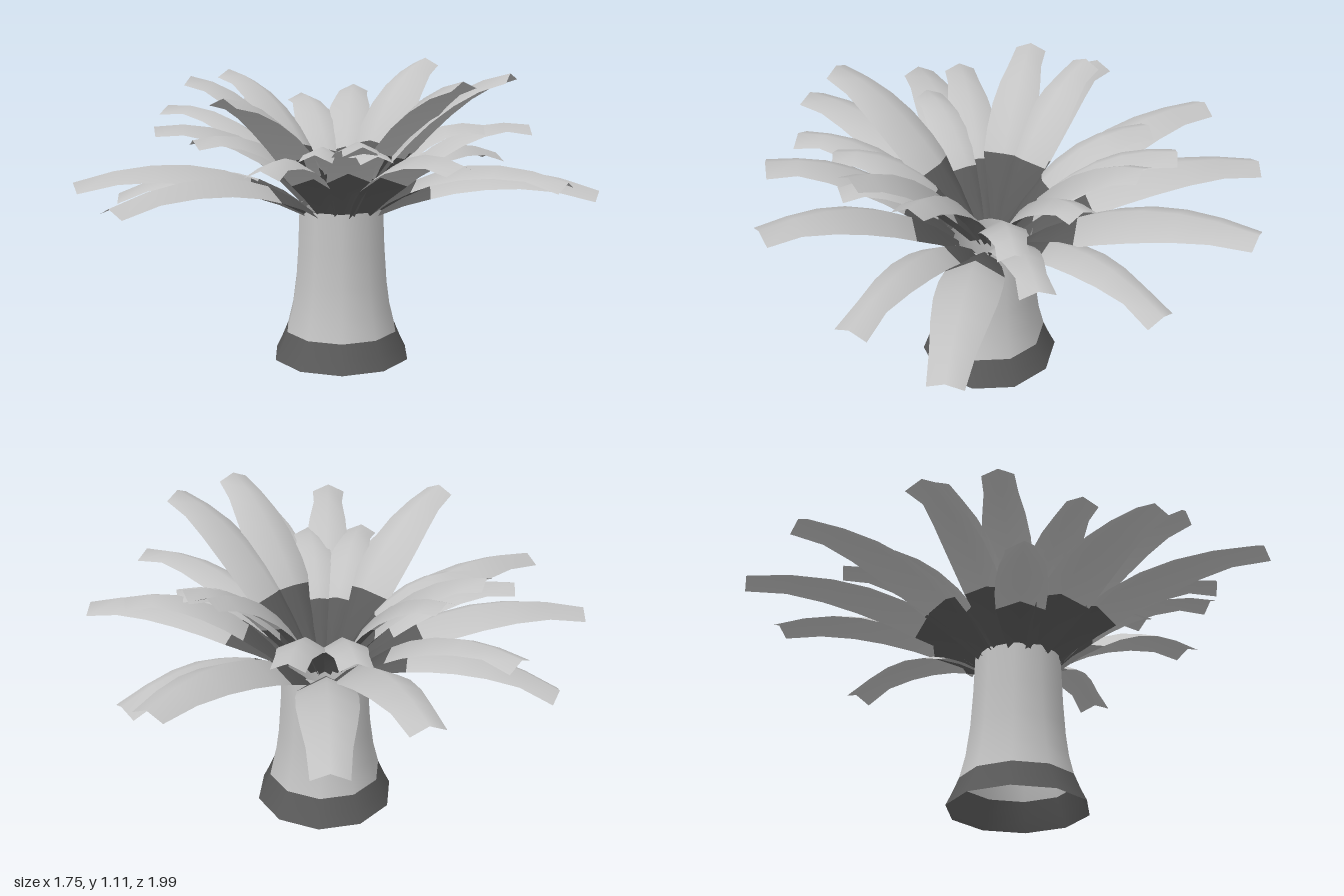
import * as THREE from 'three';

const light = new THREE.MeshStandardMaterial({ color: 0xc4c4c4, side: THREE.DoubleSide });
light.name = 'lightGrey';
const dark = new THREE.MeshStandardMaterial({ color: 0x5a5a5a, side: THREE.DoubleSide });
dark.name = 'darkGrey';

// Centre of the trunk
const CX = -0.03, CZ = -0.01;

// Arching leaf along +x: stations along the length, width as a share of the widest point
const STATIONS = [0, 0.14, 0.28, 0.4, 0.55, 0.7, 0.85, 1];
const WIDTHS = [0.42, 0.74, 0.97, 1.02, 1, 0.88, 0.7];
const DARK_ROWS = 2;
const ACROSS = [-1, 0, 1];

function leafGeometry(r0, y0, r1, y1, width, tipWidth) {
  const curve = new THREE.QuadraticBezierCurve(
    new THREE.Vector2(r0, y0),
    new THREE.Vector2(r0 + (r1 - r0) * 0.42, y1 * 0.45 + 0.54),
    new THREE.Vector2(r1, y1));
  const pos = [], index = [], n = ACROSS.length;
  STATIONS.forEach((t, i) => {
    const p = curve.getPoint(t), d = curve.getTangent(t);
    const half = (i < WIDTHS.length ? WIDTHS[i] * width : tipWidth) / 2;
    for (const a of ACROSS) {
      // sides droop away from the midrib
      const drop = Math.abs(a) * half * 0.48;
      pos.push(p.x + d.y * drop, p.y - d.x * drop, a * half);
    }
    if (i === 0) return;
    for (let j = 0; j < n - 1; j++) {
      const a = (i - 1) * n + j, b = a + 1, c = a + n, e = c + 1;
      index.push(a, b, c, b, e, c);
    }
  });
  const g = new THREE.BufferGeometry();
  g.setAttribute('position', new THREE.Float32BufferAttribute(pos, 3));
  g.setIndex(index);
  const split = DARK_ROWS * (n - 1) * 6;
  g.addGroup(0, split, 0);
  g.addGroup(split, index.length - split, 1);
  g.computeVertexNormals();
  return g;
}

// Leaf tips: x, y, z, widest width
const OUTER = [
  [-0.16, 0.87, -0.993, 0.235], [0.17, 0.67, -0.82, 0.17], [-0.71, 0.765, -0.765, 0.21],
  [-0.85, 0.85, -0.468, 0.2], [-0.86, 0.88, 0.01, 0.15], [-0.81, 0.59, 0.358, 0.18],
  [-0.655, 0.72, 0.74, 0.21], [-0.24, 0.73, 0.985, 0.2], [0.165, 0.855, 0.71, 0.15],
  [0.48, 0.95, 0.595, 0.16], [0.74, 0.89, 0.415, 0.19], [0.873, 0.77, -0.05, 0.16],
  [0.832, 0.675, -0.388, 0.22], [0.478, 0.86, -0.515, 0.15],
];
const INNER = [
  [-0.04, 1.065, -0.605, 0.2], [0.18, 0.985, -0.505, 0.16], [-0.37, 0.935, -0.58, 0.175],
  [-0.505, 0.91, -0.4, 0.165], [-0.61, 1.035, -0.07, 0.17], [-0.6, 1.035, 0.165, 0.175],
  [-0.53, 0.89, 0.45, 0.175], [-0.33, 0.865, 0.47, 0.165], [-0.025, 1.065, 0.66, 0.2],
  [0.225, 0.88, 0.5, 0.155], [0.38, 0.87, 0.36, 0.155], [0.575, 1.11, 0.15, 0.2],
  [0.61, 1.11, -0.11, 0.2], [0.37, 0.87, -0.36, 0.155],
];

function addLeaves(group, tips, name, r0, y0, tipWidth) {
  for (const [x, y, z, w] of tips) {
    const dx = x - CX, dz = z - CZ;
    const geometry = leafGeometry(r0, y0, Math.hypot(dx, dz), y, w, tipWidth);
    const leaf = new THREE.Mesh(geometry, [dark, light]);
    leaf.name = name;
    leaf.position.set(CX, 0, CZ);
    leaf.rotation.y = Math.atan2(-dz, dx);
    group.add(leaf);
  }
}

// Hollow flared trunk section from [radius, height] pairs
function trunkPart(points, material, name) {
  const profile = points.map(([r, y]) => new THREE.Vector2(r, y));
  const mesh = new THREE.Mesh(new THREE.LatheGeometry(profile, 10), material);
  mesh.name = name;
  mesh.position.set(CX, 0, CZ);
  return mesh;
}

export function createModel() {
  const model = new THREE.Group();
  model.name = 'palmPlant';

  model.add(trunkPart([[0.26, 0], [0.238, 0.045], [0.213, 0.105]], dark, 'trunkBase'));
  model.add(trunkPart([[0.213, 0.105], [0.192, 0.19], [0.177, 0.3], [0.168, 0.43], [0.162, 0.58]], light, 'trunk'));

  const crown = new THREE.Group();
  crown.name = 'crown';
  addLeaves(crown, OUTER, 'outerLeaf', 0.13, 0.57, 0.125);
  addLeaves(crown, INNER, 'innerLeaf', 0.065, 0.575, 0.115);
  model.add(crown);
  return model;
}
